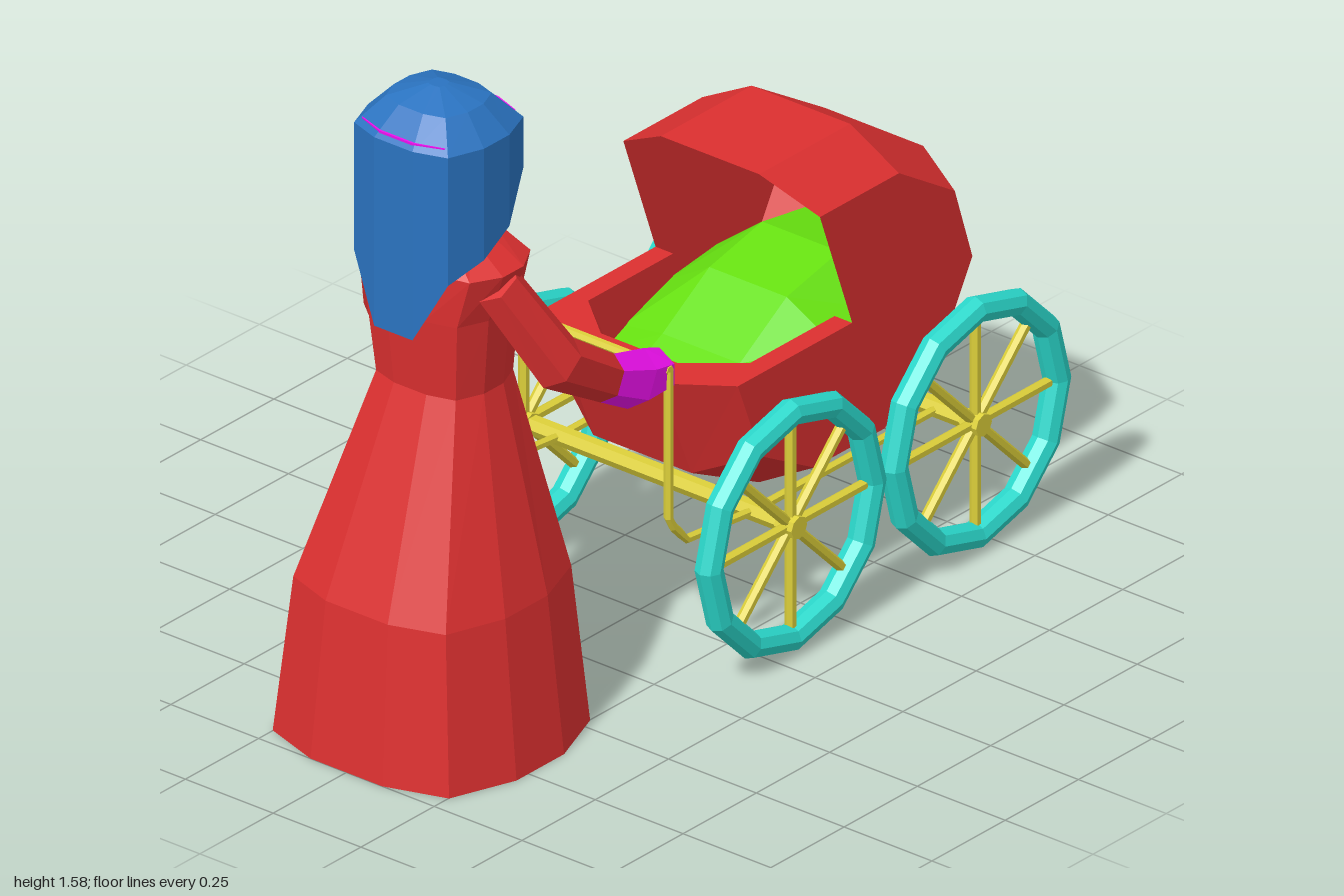
import * as THREE from 'three';

const V = (x, y, z) => new THREE.Vector3(x, y, z);
const mat = (color) => new THREE.MeshStandardMaterial({ color, flatShading: true, side: THREE.DoubleSide });
const RED = mat(0xdc3030), BLUE = mat(0x2a73c0), TEAL = mat(0x2bd9cc);
const YELLOW = mat(0xddd03a), MAGENTA = mat(0xee10ee), GREEN = mat(0x66e010);

function add(parent, name, geometry, material) {
  const mesh = new THREE.Mesh(geometry, material);
  mesh.name = name;
  parent.add(mesh);
  return mesh;
}

// Skin through rows of points; closed rows wrap around and get end caps
function loft(rows, closed = true) {
  const n = rows[0].length, pos = [], idx = [];
  rows.forEach((r) => r.forEach((p) => pos.push(p.x, p.y, p.z)));
  for (let i = 0; i < rows.length - 1; i++) {
    for (let j = 0; j < (closed ? n : n - 1); j++) {
      const k = (j + 1) % n, a = i * n + j, b = i * n + k;
      idx.push(a, b, b + n, a, b + n, a + n);
    }
  }
  if (closed) {
    const e = (rows.length - 1) * n;
    for (let j = 1; j < n - 1; j++) idx.push(0, j + 1, j, e, e + j, e + j + 1);
  }
  const g = new THREE.BufferGeometry();
  g.setAttribute('position', new THREE.Float32BufferAttribute(pos, 3));
  g.setIndex(idx);
  g.computeVertexNormals();
  return g;
}

// Twelve-sided rounded-square ring, counter-clockwise about y
const UNIT = [[-0.81, -0.83], [-1, -0.28], [-1, 0.28], [-0.81, 0.83], [-0.33, 1], [0.33, 1],
  [0.81, 0.83], [1, 0.28], [1, -0.28], [0.81, -0.83], [0.33, -1], [-0.33, -1]];
const ring = ([y, hx, zc, hz]) => UNIT.map(([x, z]) => V(x * hx, y, zc + z * hz));

// Six-sided ring across a direction, for arms and hands
function limbRing([c, dir, rx, ry]) {
  const v = dir.clone().cross(V(1, 0, 0)).normalize();
  return Array.from({ length: 6 }, (_, i) => {
    const a = (i + 0.5) * Math.PI / 3;
    return c.clone().add(V(Math.cos(a) * rx, 0, 0)).addScaledVector(v, Math.sin(a) * ry);
  });
}

// Straight rod between two points
function rod(parent, name, a, b, r, sides = 6) {
  const d = b.clone().sub(a);
  const m = add(parent, name, new THREE.CylinderGeometry(r, r, d.length(), sides), YELLOW);
  m.position.copy(a).lerp(b, 0.5);
  m.quaternion.setFromUnitVectors(V(0, 1, 0), d.normalize());
}

function createWoman() {
  const g = new THREE.Group();
  g.name = 'woman';
  add(g, 'dress', loft([
    [0, 0.31, 0.71, 0.29], [0.38, 0.268, 0.707, 0.258], [0.86, 0.14, 0.665, 0.118],
    [1.05, 0.16, 0.67, 0.13], [1.17, 0.2, 0.67, 0.125], [1.24, 0.09, 0.67, 0.08],
  ].map(ring)), RED);
  const neck = add(g, 'neck', new THREE.CylinderGeometry(0.06, 0.06, 0.14, 8), MAGENTA);
  neck.position.set(0, 1.26, 0.665);
  add(g, 'head', loft([
    [1.26, 0.08, 0.7, 0.06], [1.32, 0.125, 0.685, 0.142], [1.5, 0.145, 0.685, 0.146],
  ].map(ring)), MAGENTA);

  // Hair: domed cap, plus a curtain that hangs longest at the back
  const hairRing = ring([1.485, 0.165, 0.685, 0.155]);
  add(g, 'hairCap', loft([hairRing, ...[[1.548, 0.105, 0.685, 0.095], [1.577, 0.02, 0.685, 0.02]].map(ring)]), BLUE);
  const ends = [1.36, 1.26, 1.21, 1.17, 1.02, 1.02, 1.17, 1.21, 1.26, 1.36];
  const top = hairRing.slice(0, 10);
  add(g, 'hairCurtain', loft([top.map((p, i) => V(p.x, ends[i], p.z)), top], false), BLUE);

  // Arms and hands
  for (const s of [1, -1]) {
    const upper = V(0, -0.9, -0.45), bend = V(0, -0.75, -0.6), fore = V(0, -0.4, -0.9);
    const wrist = [V(0.238 * s, 0.81, 0.395), fore, 0.045, 0.056];
    add(g, 'arm', loft([
      [V(0.165 * s, 1.14, 0.69), upper, 0.045, 0.06],
      [V(0.245 * s, 0.92, 0.57), bend, 0.05, 0.066], wrist,
    ].map(limbRing)), RED);
    add(g, 'hand', loft([
      wrist, [V(0.232 * s, 0.765, 0.29), fore, 0.056, 0.07],
      [V(0.232 * s, 0.757, 0.21), V(0, 0, -1), 0.05, 0.052],
    ].map(limbRing)), MAGENTA);
  }
  return g;
}

function createBody() {
  const g = new THREE.Group();
  g.name = 'carriageBody';
  // Hood-to-basket profiles (z, y): the middle, and the smaller one at the sides
  const mid = [[-0.24, 1.025], [-0.55, 1.025], [-0.8, 0.87], [-0.89, 0.645], [-0.76, 0.4],
    [-0.52, 0.265], [-0.24, 0.265], [-0.01, 0.38], [0.1, 0.645]];
  const edge = [[-0.28, 0.95], [-0.55, 0.95], [-0.74, 0.83], [-0.8, 0.645], [-0.69, 0.45],
    [-0.5, 0.34], [-0.26, 0.34], [-0.08, 0.44], [0, 0.645]];
  const row = (x, profile) => profile.map(([z, y]) => V(x, y, z));
  add(g, 'shell', loft([row(-0.28, edge), row(-0.14, mid), row(0.14, mid), row(0.28, edge)], false), RED);
  const side = new THREE.Shape([...edge, [-0.39, 0.645]].map(([z, y]) => new THREE.Vector2(z, y)));
  for (const s of [1, -1]) {
    const panel = add(g, 'sidePanel', new THREE.ShapeGeometry(side).rotateY(-Math.PI / 2), RED);
    panel.position.x = 0.28 * s;
  }
  // Flat rim and inner wall of the opening
  const u = (y, w, z1, n, z2) => [V(-w, y, -0.39), V(-w, y, z1), V(-n, y, z2),
    V(n, y, z2), V(w, y, z1), V(w, y, -0.39)];
  add(g, 'rim', loft([u(0.645, 0.28, 0, 0.14, 0.1), u(0.645, 0.23, -0.1, 0.11, 0),
    u(0.5, 0.23, -0.16, 0.11, -0.08)], false), RED);
  // Bedding rises towards the hood: z at edge, z at middle, y at edge, y at middle
  add(g, 'bedding', loft([
    [-0.16, -0.08, 0.5, 0.5], [-0.23, -0.21, 0.53, 0.56], [-0.38, -0.37, 0.58, 0.66],
    [-0.55, -0.55, 0.6, 0.7], [-0.74, -0.8, 0.58, 0.66],
  ].map(([ze, zm, ye, ym]) => [V(-0.24, ye, ze), V(-0.11, ym, zm), V(0.11, ym, zm), V(0.24, ye, ze)]), false), GREEN);
  return g;
}

function createWheel() {
  const g = new THREE.Group();
  g.name = 'wheel';
  add(g, 'tyre', new THREE.TorusGeometry(0.278, 0.032, 8, 12).rotateY(Math.PI / 2), TEAL);
  add(g, 'hub', new THREE.CylinderGeometry(0.027, 0.027, 0.05, 8).rotateZ(Math.PI / 2), YELLOW);
  for (let i = 0; i < 4; i++) {
    const a = i * Math.PI / 4, p = V(0, Math.sin(a) * 0.27, Math.cos(a) * 0.27);
    rod(g, 'spokePair', p.clone().negate(), p, 0.013);
  }
  return g;
}

export function createModel() {
  const model = new THREE.Group();
  model.name = 'womanWithCarriage';
  model.add(createWoman(), createBody());

  // Wheels and axles
  const Y = 0.313;
  for (const z of [-0.06, -0.69]) {
    rod(model, 'axle', V(-0.38, Y, z), V(0.38, Y, z), 0.023);
    for (const s of [1, -1]) {
      const wheel = createWheel();
      wheel.position.set(0.38 * s, Y, z);
      model.add(wheel);
    }
  }
  // Frame bars that turn up into the push handle
  for (const s of [1, -1]) {
    const x = 0.275 * s;
    const path = new THREE.CurvePath();
    const pts = [V(x, Y, -0.69), V(x, Y, -0.06), V(x, 0.335, 0.17), V(x, 0.4, 0.23), V(x, 0.775, 0.23)];
    for (let i = 0; i < 4; i++) path.add(new THREE.LineCurve3(pts[i], pts[i + 1]));
    add(model, 'frameBar', new THREE.TubeGeometry(path, 40, 0.011, 6), YELLOW);
  }
  rod(model, 'handleBar', V(-0.28, 0.775, 0.23), V(0.28, 0.775, 0.23), 0.012);
  return model;
}
